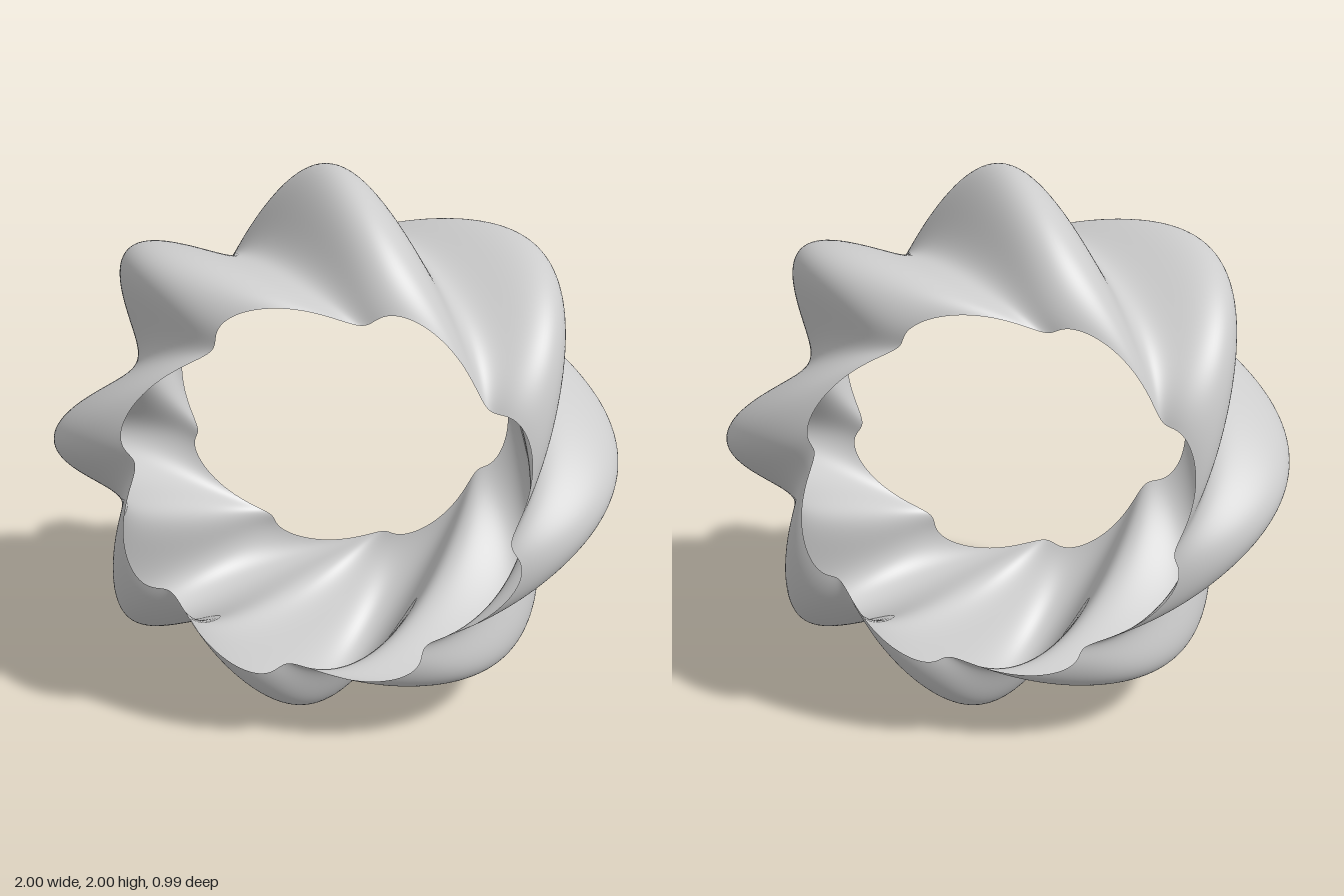
import * as THREE from 'three';

const LOBES = 8, AROUND = 384, ACROSS = 64;
const BACK = -1.43, FRONT = 1.31; // ends of the bulging profile, in radians

// Point of the fluted band: w runs round the ring, v runs from back to front
function bandPoint(w, v) {
  const ridge = Math.cos(LOBES * w); // 1 on a ridge, -1 in a groove
  const bulge = Math.cos(v) ** 1.2;
  const radius = 0.605 + 0.275 * bulge + (0.015 + 0.105 * bulge) * ridge;
  // Grooves twist more than ridges, and the twist quickens towards the rims
  const twist = THREE.MathUtils.degToRad(-(15.5 - 4.5 * ridge) * v - (3.3 + 0.7 * ridge) * v ** 3);
  // Grooves narrow to cusps close to the rims
  const pinch = (0.05 * Math.sin(v) ** 6 - 0.012) * Math.sin(LOBES * w);
  const angle = w + twist + pinch;
  // The rims dip slightly at the grooves
  const z = (0.499 + 0.007 * ridge) * Math.sin(v);
  return [radius * Math.cos(angle), 1 + radius * Math.sin(angle), z];
}

export function createModel() {
  const positions = [], indices = [];
  for (let j = 0; j <= ACROSS; j++) {
    const v = THREE.MathUtils.lerp(BACK, FRONT, j / ACROSS);
    for (let i = 0; i < AROUND; i++) {
      positions.push(...bandPoint((i / AROUND) * Math.PI * 2, v));
      if (j === ACROSS) continue;
      const next = (i + 1) % AROUND; // the ring closes on itself
      const a = j * AROUND + i, b = j * AROUND + next;
      const c = b + AROUND, d = a + AROUND;
      indices.push(a, b, c, a, c, d);
    }
  }
  const geometry = new THREE.BufferGeometry();
  geometry.setAttribute('position', new THREE.Float32BufferAttribute(positions, 3));
  geometry.setIndex(indices);
  geometry.computeVertexNormals();

  // Thin open shell, seen from both sides
  const band = new THREE.Mesh(
    geometry,
    new THREE.MeshStandardMaterial({ color: 0xcccccc, side: THREE.DoubleSide })
  );
  band.name = 'twistedFlutedBand';

  const model = new THREE.Group();
  model.name = 'twistedRing';
  model.add(band);
  return model;
}
